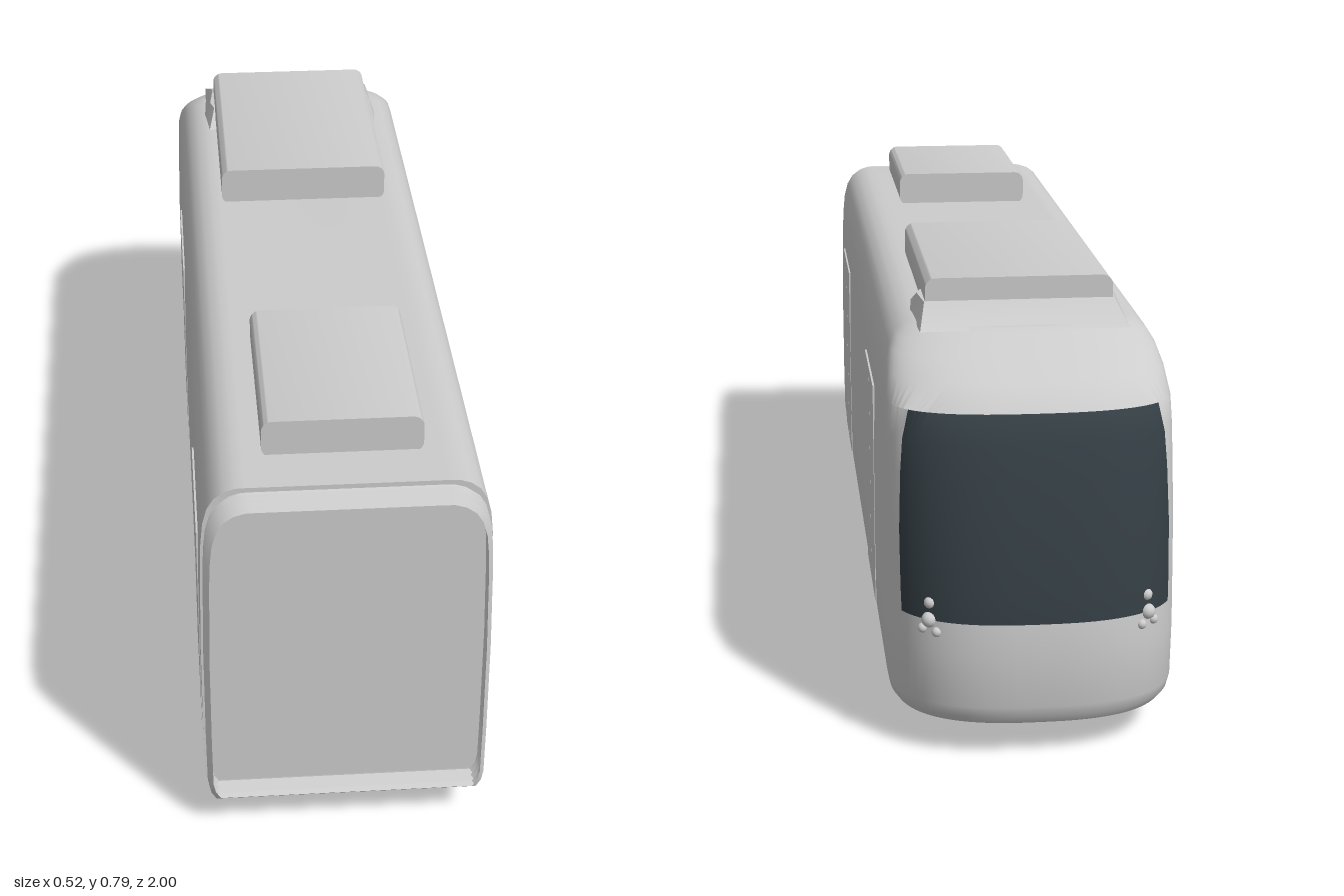
import * as THREE from 'three';
import { toCreasedNormals } from 'three/addons/utils/BufferGeometryUtils.js';

const mat = (name, color, side = THREE.FrontSide) => {
  const m = new THREE.MeshStandardMaterial({ color, side });
  m.name = name;
  return m;
};

// Hull levels: [height, half width, nose z, depth of the rounded nose corner]
const LEVELS = [
  [0.065, 0.244, -0.98, 0.2], [0.08, 0.253, -0.99, 0.2], [0.1, 0.257, -0.995, 0.2],
  [0.2, 0.258, -1, 0.2], [0.255, 0.258, -0.997, 0.2], [0.3, 0.258, -0.992, 0.195],
  [0.4, 0.258, -0.975, 0.18], [0.5, 0.256, -0.952, 0.16], [0.56, 0.255, -0.934, 0.145],
  [0.61, 0.253, -0.915, 0.135], [0.65, 0.249, -0.86, 0.13], [0.68, 0.241, -0.81, 0.125],
  [0.7, 0.229, -0.775, 0.12], [0.713, 0.212, -0.75, 0.11], [0.7195, 0.192, -0.737, 0.1],
  [0.72, 0.175, -0.73, 0.09],
];
const BACK = 0.945, SIDE = 8, FRONT = 12, POWER = 2.6;
const WINDOW_LOW = 0.255, WINDOW_HIGH = 0.61;

// Joins closed rings of points; isSecond(i, j) picks quads for the second material
function loft(rings, caps = true, isSecond = () => false, crease = 0.65) {
  const n = rings[0].length, first = [], second = [];
  for (let i = 0; i < rings.length - 1; i++) {
    for (let j = 0; j < n; j++) {
      const a = i * n + j, b = i * n + (j + 1) % n;
      (isSecond(i, j) ? second : first).push(a, b, b + n, a, b + n, a + n);
    }
  }
  if (caps) {
    const top = (rings.length - 1) * n;
    for (let j = 1; j < n - 1; j++) first.push(0, j + 1, j, top, top + j, top + j + 1);
  }
  const g = new THREE.BufferGeometry();
  g.setAttribute('position', new THREE.Float32BufferAttribute(rings.flat(2), 3));
  g.setIndex([...first, ...second]);
  g.addGroup(0, first.length, 0);
  if (second.length) g.addGroup(first.length, second.length, 1);
  return toCreasedNormals(g, crease);
}

// Plan outline of the hull at one level, with a column edge along the window side
function planRing([y, w, nose, depth]) {
  const k = THREE.MathUtils.clamp((y - WINDOW_LOW) / (WINDOW_HIGH - WINDOW_LOW), 0, 1);
  const start = nose + depth;
  const edge = THREE.MathUtils.lerp(-0.905, -0.866, k);
  const u = THREE.MathUtils.clamp((start - edge) / depth, 0.2, 0.8);
  const edgeAngle = Math.asin(u ** (POWER / 2));
  const half = [[w, y, BACK]];
  for (let j = 0; j <= SIDE + FRONT; j++) {
    const t = j <= SIDE ? edgeAngle * j / SIDE
      : edgeAngle + (Math.PI / 2 - edgeAngle) * (j - SIDE) / FRONT;
    const x = w * Math.max(Math.cos(t), 0) ** (2 / POWER);
    half.push([j === SIDE + FRONT ? 0 : x, y, start - depth * Math.sin(t) ** (2 / POWER)]);
  }
  const mirrored = half.slice(0, -1).reverse().map(([x, h, z]) => [-x, h, z]);
  return [...half, ...mirrored];
}

// Cross-section of the hull, shrunk by an inset
function section(inset, z) {
  const mid = 0.395;
  const half = LEVELS.map(([y, w]) => [w - inset, mid + (y - mid) * (1 - inset / 0.33), z]);
  return [...half, ...half.slice().reverse().map(([x, y]) => [-x, y, z])];
}

// Roof box with rounded long edges
function roofBox(w, y0, y1, z0, z1, r) {
  const s = new THREE.Shape();
  s.absarc(w - r, y1 - r, r, 0, Math.PI / 2);
  s.absarc(r - w, y1 - r, r, Math.PI / 2, Math.PI);
  s.absarc(r - w, y0 + r, r, Math.PI, Math.PI * 1.5);
  s.absarc(w - r, y0 + r, r, Math.PI * 1.5, Math.PI * 2);
  const g = new THREE.ExtrudeGeometry(s, { depth: z1 - z0, bevelEnabled: false, curveSegments: 5 });
  return toCreasedNormals(g.translate(0, 0, z0), 0.6);
}

export function createModel() {
  const root = new THREE.Group();
  root.name = 'tramEndCar';
  const grey = mat('bodyGrey', 0xcccccc);
  const openGrey = mat('bellowsGrey', 0xcccccc, THREE.DoubleSide);
  const glass = mat('windowDark', 0x343e44);
  const add = (name, geometry, material = grey) => {
    const m = new THREE.Mesh(geometry, material);
    m.name = name;
    root.add(m);
    return m;
  };

  // Hull with the wraparound windscreen
  const columns = 2 * (SIDE + FRONT) + 3;
  const isWindow = (i, j) => LEVELS[i][0] >= WINDOW_LOW && LEVELS[i + 1][0] <= WINDOW_HIGH
    && j > SIDE && j < columns - 2 - SIDE;
  add('hull', loft(LEVELS.map(planRing), true, isWindow), [grey, glass]);

  // Open corrugated bellows at the coupling end
  const folds = [0.008, 0.012, 0.004, 0.012, 0.004, 0.012, 0.006, 0.014];
  add('bellows', loft(folds.map((f, i) => section(f, 0.943 + i * 0.057 / 7)), false, undefined, 0.5), openGrey);

  // Roof equipment
  add('largeRoofUnit', roofBox(0.172, 0.715, 0.792, -0.65, -0.135, 0.02));
  add('smallRoofUnit', roofBox(0.142, 0.715, 0.787, 0.455, 0.845, 0.02));
  const ramp = (w, y, back, mid, front) => [
    [w, y, back], [w + 0.008, y, mid], [w, y, front],
    [-w, y, front], [-w - 0.008, y, mid], [-w, y, back],
  ];
  add('roofFairing', loft([
    ramp(0.188, 0.715, -0.49, -0.58, -0.74),
    ramp(0.174, 0.75, -0.55, -0.58, -0.655),
  ], true, undefined, 0.4));

  for (const s of [1, -1]) {
    // Double doors, slightly proud of the sides
    for (const z of [0.675, -0.32]) {
      for (const leaf of [-1, 1]) {
        add('doorLeaf', new THREE.BoxGeometry(0.006, 0.44, 0.138))
          .position.set(s * 0.256, 0.32, z + leaf * 0.07);
      }
    }
    // Wheels
    for (const z of [0.37, -0.02]) {
      const profile = [[0, -0.016], [0.058, -0.016], [0.068, -0.012], [0.066, 0.006], [0.058, 0.014], [0, 0.016]];
      const g = new THREE.LatheGeometry(profile.map(([r, h]) => new THREE.Vector2(r, h)), 32);
      add('wheel', toCreasedNormals(g, 0.6).rotateZ(-s * Math.PI / 2)).position.set(s * 0.164, 0.068, z);
    }
    // Headlamp cluster
    for (const [x, y, z, r] of [[0.19, 0.285, -0.948, 0.011], [0.192, 0.255, -0.952, 0.014], [0.18, 0.235, -0.962, 0.009], [0.203, 0.238, -0.946, 0.009]]) {
      add('headlamp', new THREE.SphereGeometry(r, 12, 8)).position.set(s * x, y, z);
    }
  }

  // Axles
  for (const z of [0.37, -0.02]) {
    add('axle', new THREE.CylinderGeometry(0.007, 0.007, 0.31, 12).rotateZ(Math.PI / 2)).position.set(0, 0.064, z);
  }
  return root;
}
